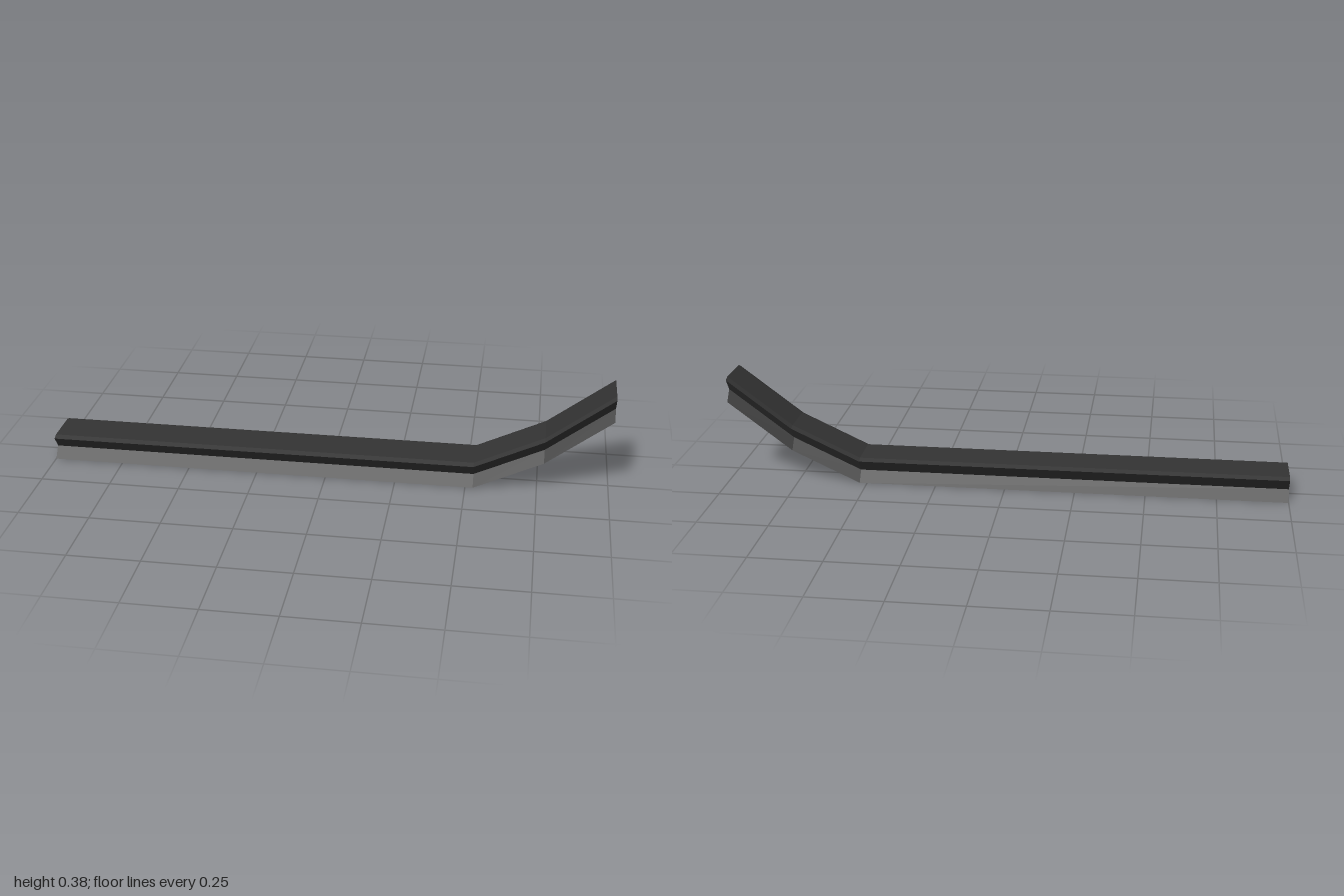
import * as THREE from 'three';

// Stations along the rail: [x, height of the underside]
const path = [[-1, 0], [0.527, 0], [0.77, 0.114], [1, 0.288]];

// Half of the notched cross-section: [half width, height]
const half = [[0.088, 0], [0.057, 0.039], [0.088, 0.082], [0.069, 0.09]];

export function createModel() {
  const group = new THREE.Group();
  group.name = 'bentRail';

  // Mirror the half section into a closed outline
  const outline = [...half, ...half.map(([w, y]) => [-w, y]).reverse()];
  const section = new THREE.Shape(outline.map(([w, y]) => new THREE.Vector2(w, y)));

  // One extrusion step per stretch of the rail, turned to run along x
  const steps = path.length - 1;
  const geometry = new THREE.ExtrudeGeometry(section, { depth: steps, steps, bevelEnabled: false });
  geometry.rotateY(Math.PI / 2);

  // Move each section to its station, keeping the cuts vertical
  const pos = geometry.attributes.position;
  for (let i = 0; i < pos.count; i++) {
    const [x, lift] = path[Math.round(pos.getX(i))];
    pos.setX(i, x);
    pos.setY(i, pos.getY(i) + lift);
  }
  geometry.computeVertexNormals();

  const rail = new THREE.Mesh(
    geometry,
    new THREE.MeshStandardMaterial({ color: 0x333333, flatShading: true })
  );
  rail.name = 'rail';
  group.add(rail);
  return group;
}
